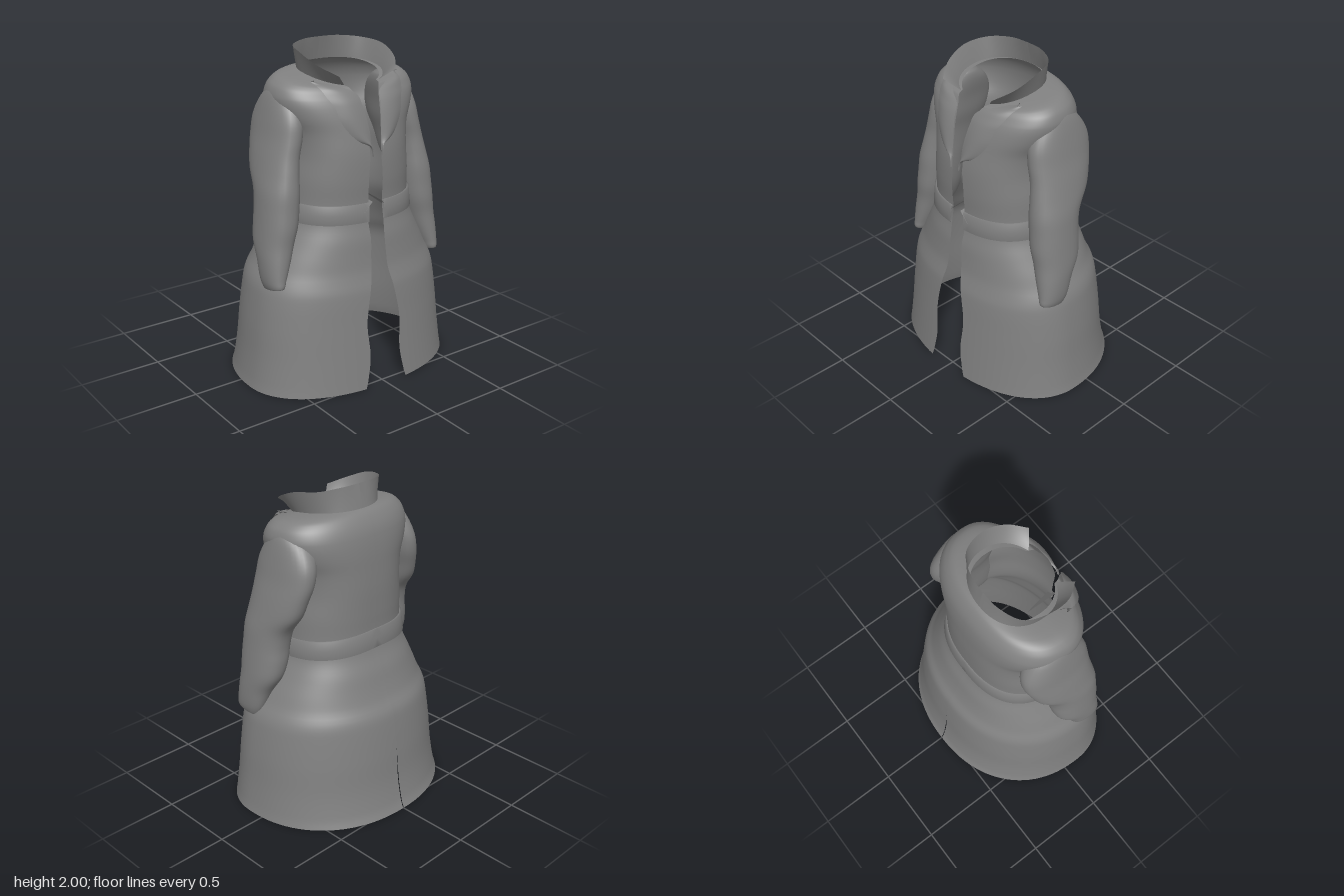
import * as THREE from 'three';

const cloth = new THREE.MeshStandardMaterial({ color: 0x808080, side: THREE.DoubleSide });
cloth.name = 'grey cloth';

// Smooth interpolation of table rows by their first column
function sample(rows, y) {
  const n = rows.length;
  let i = 0;
  while (i < n - 2 && y > rows[i + 1][0]) i++;
  const lo = rows[i], hi = rows[i + 1], h = hi[0] - lo[0];
  const k = THREE.MathUtils.clamp((y - lo[0]) / h, 0, 1);
  return lo.map((v, c) => {
    const slope = (q) => {
      const p = rows[Math.max(q - 1, 0)], r = rows[Math.min(q + 1, n - 1)];
      return (r[c] - p[c]) / (r[0] - p[0]);
    };
    const k2 = k * k, k3 = k2 * k;
    return v * (2 * k3 - 3 * k2 + 1) + hi[c] * (3 * k2 - 2 * k3)
      + slope(i) * h * (k3 - 2 * k2 + k) + slope(i + 1) * h * (k3 - k2);
  });
}

// Sheet of nu x nv cells from a point function; s = -1 mirrors it in x
function sheet(name, nu, nv, s, point, wrap = false) {
  const pos = [], idx = [], w = wrap ? nu : nu + 1;
  for (let j = 0; j <= nv; j++) {
    for (let i = 0; i < w; i++) {
      const p = point(i / nu, j / nv);
      pos.push(p[0] * s, p[1], p[2]);
    }
  }
  for (let j = 0; j < nv; j++) {
    for (let i = 0; i < nu; i++) {
      const a = j * w + i, b = j * w + (i + 1) % w, c = b + w, d = a + w;
      if (s > 0) idx.push(a, b, c, a, c, d);
      else idx.push(a, c, b, a, d, c);
    }
  }
  const g = new THREE.BufferGeometry();
  g.setAttribute('position', new THREE.Float32BufferAttribute(pos, 3));
  g.setIndex(idx);
  g.computeVertexNormals();
  const m = new THREE.Mesh(g, cloth);
  m.name = name;
  return m;
}

// Coat body with shoulders: height, half width, front z, back z, front gap, neckline dip, exponent
const BODY = [
  [0.00, 0.695, 0.55, -0.545, 0.15, 0, 2.2],
  [0.05, 0.685, 0.545, -0.525, 0.135, 0, 2.2],
  [0.20, 0.665, 0.53, -0.495, 0.11, 0, 2.2],
  [0.40, 0.645, 0.51, -0.475, 0.12, 0, 2.2],
  [0.60, 0.615, 0.49, -0.45, 0.085, 0, 2.2],
  [0.66, 0.595, 0.475, -0.435, 0.07, 0, 2.2],
  [0.72, 0.56, 0.46, -0.40, 0.06, 0, 2.25],
  [0.80, 0.52, 0.45, -0.37, 0.055, 0, 2.3],
  [0.90, 0.465, 0.44, -0.34, 0.05, 0, 2.35],
  [1.00, 0.418, 0.42, -0.30, 0.055, 0, 2.4],
  [1.10, 0.405, 0.41, -0.28, 0.05, 0, 2.4],
  [1.25, 0.40, 0.415, -0.28, 0.05, 0, 2.4],
  [1.40, 0.385, 0.41, -0.28, 0.04, 0, 2.45],
  [1.53, 0.40, 0.39, -0.275, 0.05, 0, 2.45],
  [1.62, 0.445, 0.37, -0.27, 0.06, 0, 2.4],
  [1.70, 0.470, 0.345, -0.26, 0.07, 0.005, 2.35],
  [1.76, 0.463, 0.32, -0.245, 0.085, 0.02, 2.3],
  [1.81, 0.433, 0.305, -0.22, 0.10, 0.045, 2.25],
  [1.845, 0.367, 0.295, -0.19, 0.11, 0.07, 2.2],
  [1.86, 0.225, 0.28, -0.16, 0.12, 0.085, 2.2],
];

// k runs from the front edge (0) to the back seam (1)
function bodyPoint(y, k, off = 0, frontX = null) {
  const [, a, zf, zb, gap, dip, n] = sample(BODY, y);
  // The widest line lies further forward in the skirt
  const e = 2 / n, cz = 0.06 + 0.04 * THREE.MathUtils.smoothstep(1 - y, 0, 0.5);
  const start = Math.asin(Math.min(1, Math.pow((frontX ?? gap) / a, 1 / e)));
  const slit = 0.003 * Math.min(1, Math.max(0, (0.42 - y) * 5));
  const end = Math.PI - Math.asin(Math.pow(slit / a, 1 / e));
  const t = start + (end - start) * k, c = Math.cos(t);
  const sx = Math.pow(Math.abs(Math.sin(t)), e), sz = Math.pow(Math.abs(c), e);
  const z = c > 0 ? cz + (zf + off - cz) * sz : cz + (zb - off - cz) * sz;
  return [(a + off) * sx, y - dip * Math.pow((1 + c) / 2, 2), z];
}

// Point on the chest at a given x and height
function chestPoint(x, y, off) {
  let u = y, p;
  for (let i = 0; i < 20; i++) {
    p = bodyPoint(u, 0, 0, x);
    u = Math.min(1.86, u + (y - p[1]) * 0.6);
  }
  return [x, y, p[2] + off];
}

// Sleeve, ending inside the shoulder: height, inner x, outer x, back z, front z
const SLEEVE = [
  [0.640, 0.550, 0.600, 0.14, 0.27],
  [0.645, 0.535, 0.615, 0.125, 0.295],
  [0.70, 0.51, 0.628, 0.09, 0.295],
  [0.80, 0.468, 0.630, 0.05, 0.29],
  [0.90, 0.43, 0.625, -0.01, 0.285],
  [1.00, 0.40, 0.615, -0.03, 0.29],
  [1.10, 0.385, 0.604, -0.035, 0.285],
  [1.20, 0.375, 0.592, -0.06, 0.28],
  [1.30, 0.365, 0.572, -0.13, 0.265],
  [1.40, 0.35, 0.55, -0.165, 0.25],
  [1.50, 0.325, 0.525, -0.19, 0.245],
  [1.60, 0.31, 0.505, -0.185, 0.23],
  [1.70, 0.29, 0.482, -0.13, 0.18],
  [1.76, 0.29, 0.458, -0.06, 0.13],
  [1.79, 0.31, 0.425, -0.01, 0.09],
];

function sleevePoint(k, v) {
  const row = v * (SLEEVE.length - 1);
  const i = Math.min(Math.floor(row), SLEEVE.length - 2);
  const y = THREE.MathUtils.lerp(SLEEVE[i][0], SLEEVE[i + 1][0], row - i);
  const [, xi, xo, zb, zf] = sample(SLEEVE, y);
  const t = k * Math.PI * 2, r = 0.9;
  const sn = Math.sin(t), cs = Math.cos(t);
  // The cuff hangs lower at the back
  const droop = 0.015 * cs * Math.max(0, 1 - (y - 0.64) / 0.1);
  return [(xi + xo) / 2 + (xo - xi) / 2 * Math.sign(sn) * Math.pow(Math.abs(sn), r), y + droop,
    (zb + zf) / 2 + (zf - zb) / 2 * Math.sign(cs) * Math.pow(Math.abs(cs), r)];
}

// Lapel: height, inner x, outer x
const LAPEL = [
  [1.39, 0.03, 0.034], [1.45, 0.035, 0.05], [1.48, 0.037, 0.11], [1.53, 0.04, 0.165],
  [1.60, 0.05, 0.212], [1.68, 0.065, 0.235], [1.74, 0.08, 0.268], [1.77, 0.13, 0.28],
  [1.80, 0.225, 0.295], [1.82, 0.29, 0.305],
];

// Collar upper edge, from the front tip to the centre back
const collarRim = new THREE.CatmullRomCurve3([[0.20, 1.85, 0.33], [0.275, 1.905, 0.22],
  [0.293, 1.96, 0.08], [0.245, 1.98, -0.06], [0.12, 1.994, -0.125], [0, 1.996, -0.137],
].map((p) => new THREE.Vector3(...p)));

export function createModel() {
  const coat = new THREE.Group();
  coat.name = 'coat';

  for (const s of [1, -1]) {
    const side = new THREE.Group();
    side.name = s > 0 ? 'leftHalf' : 'rightHalf';

    // Torso, shoulders and skirt, open at the front and slit low at the back
    side.add(sheet('body', 48, 90, s, (k, v) => {
      const y = v < 0.8 ? v / 0.8 * 1.72 : 1.72 + 0.14 * Math.sin((v - 0.8) / 0.2 * Math.PI / 2);
      return bodyPoint(y, k);
    }));

    side.add(sheet('sleeve', 32, 60, s, sleevePoint, true));

    // Belt with closed upper and lower edges, higher at the back
    const offs = [0.001, 0.013, 0.015, 0.013, 0.001];
    side.add(sheet('belt', 48, 4, s, (k, v) => {
      const h = [0, 0, 0.5, 1, 1][Math.round(v * 4)];
      const y = 1.005 + 0.03 * k * k + h * 0.11;
      return bodyPoint(y, k, offs[Math.round(v * 4)]);
    }));

    // Loose belt end, a sloping triangle turned inward at the opening
    side.add(sheet('beltEnd', 6, 4, s, (k, v) => [
      0.03 + 0.06 * v * (1 - k), 1.12 + 0.02 * k - 0.06 * v * (1 - k), 0.425 - 0.225 * k,
    ]));

    // Folded lapel lying on the chest
    side.add(sheet('lapel', 10, 36, s, (k, v) => {
      const [y, xi, xo] = sample(LAPEL, 1.39 + v * 0.43);
      return chestPoint(xi + (xo - xi) * k, y, 0.014 + 0.012 * Math.sin(k * Math.PI));
    }));

    // Standing collar, rising from the neckline and flared at the sides
    side.add(sheet('collar', 36, 6, s, (k, v) => {
      const base = new THREE.Vector3(...bodyPoint(1.857, k));
      return base.lerp(collarRim.getPoint(k), v).toArray();
    }));

    coat.add(side);
  }
  return coat;
}
